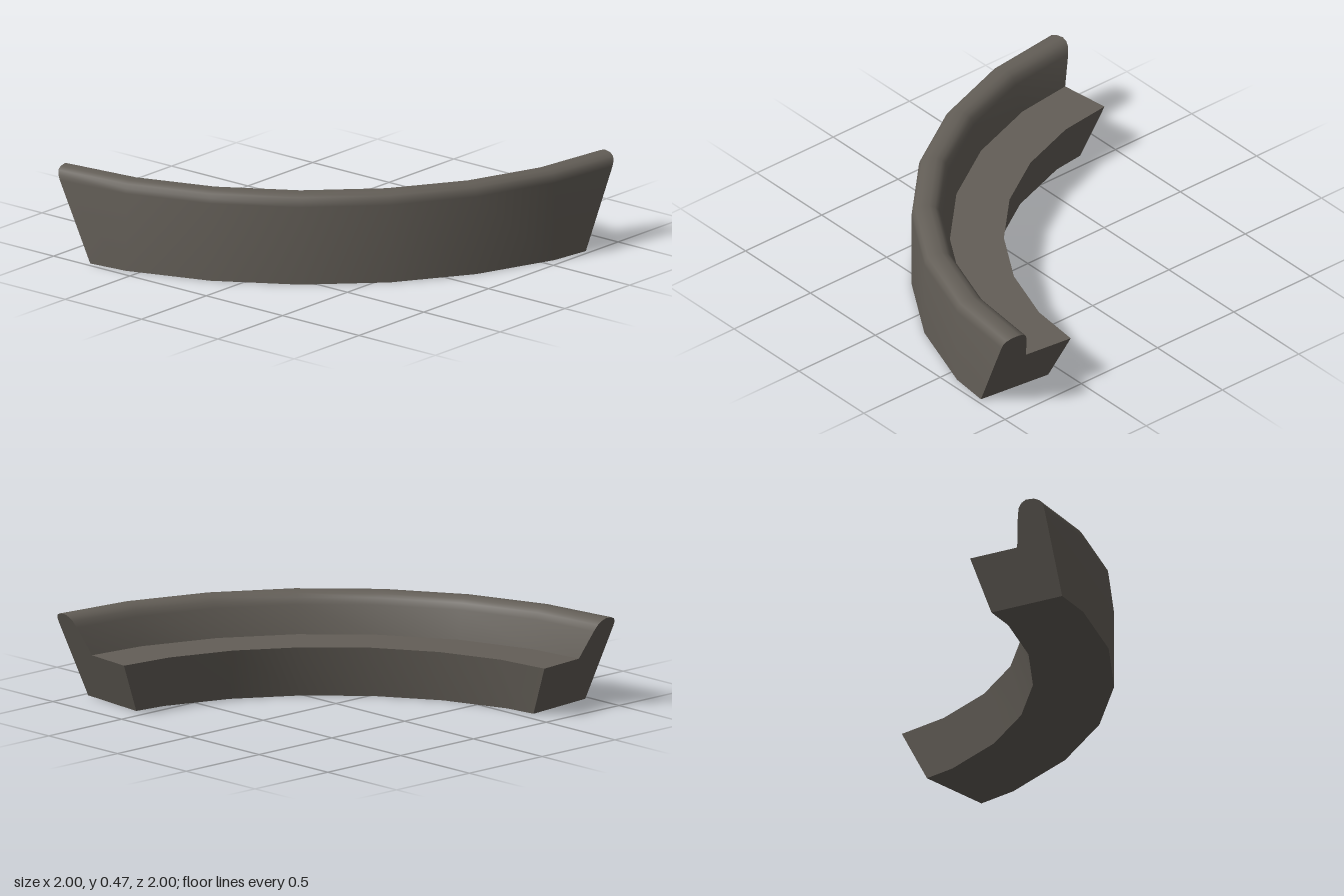
import * as THREE from 'three';
import { toCreasedNormals } from 'three/addons/utils/BufferGeometryUtils.js';

const CENTRE = 1.02;          // arc centre lies at (CENTRE, -CENTRE)
const SEGMENTS = 7;           // facets in the quarter turn
const STEP = Math.PI / 2 / SEGMENTS;

// Cross-section as (radius, height), counter-clockwise
const profile = [
  [1.614, 0], [2.02, 0], [2.02, 0.405], [2.016, 0.43], [2.002, 0.45], [1.975, 0.462],
  [1.93, 0.466], [1.902, 0.456], [1.882, 0.438], [1.868, 0.405], [1.828, 0.262], [1.558, 0.262],
].map(([r, y]) => new THREE.Vector2(r, y));

// Point on a ring of the arc, measured from the right-hand end
function arcPoint(p, ring) {
  const a = ring * STEP;
  return new THREE.Vector3(CENTRE - p.x * Math.sin(a), p.y, -CENTRE + p.x * Math.cos(a));
}

// Slide the end rings along their facets onto a sloping cut plane
function ringPoint(p, ring) {
  const point = arcPoint(p, ring);
  if (ring > 0 && ring < SEGMENTS) return point;
  const t = (0.119 * p.x - 0.455 * p.y) / (p.x * (Math.sin(STEP) + 0.119 * (1 - Math.cos(STEP))));
  return point.lerp(arcPoint(p, ring === 0 ? 1 : SEGMENTS - 1), t);
}

function sweepGeometry() {
  const n = profile.length;
  const positions = [];
  const index = [];
  for (let ring = 0; ring <= SEGMENTS; ring++) {
    for (const p of profile) positions.push(...ringPoint(p, ring).toArray());
  }
  // Long faces
  for (let ring = 0; ring < SEGMENTS; ring++) {
    for (let i = 0; i < n; i++) {
      const a = ring * n + i;
      const b = ring * n + (i + 1) % n;
      index.push(a, b, b + n, a, b + n, a + n);
    }
  }
  // Slanted end faces
  const last = SEGMENTS * n;
  for (const [a, b, c] of THREE.ShapeUtils.triangulateShape(profile, [])) {
    index.push(a, c, b, last + a, last + b, last + c);
  }
  const geometry = new THREE.BufferGeometry();
  geometry.setAttribute('position', new THREE.Float32BufferAttribute(positions, 3));
  geometry.setIndex(index);
  return toCreasedNormals(geometry, THREE.MathUtils.degToRad(40));
}

export function createModel() {
  const stone = new THREE.MeshStandardMaterial({ color: 0x635e57 });
  stone.name = 'dark stone';

  const model = new THREE.Group();
  model.name = 'curvedRim';
  const rim = new THREE.Mesh(sweepGeometry(), stone);
  rim.name = 'rimSegment';
  model.add(rim);
  return model;
}
